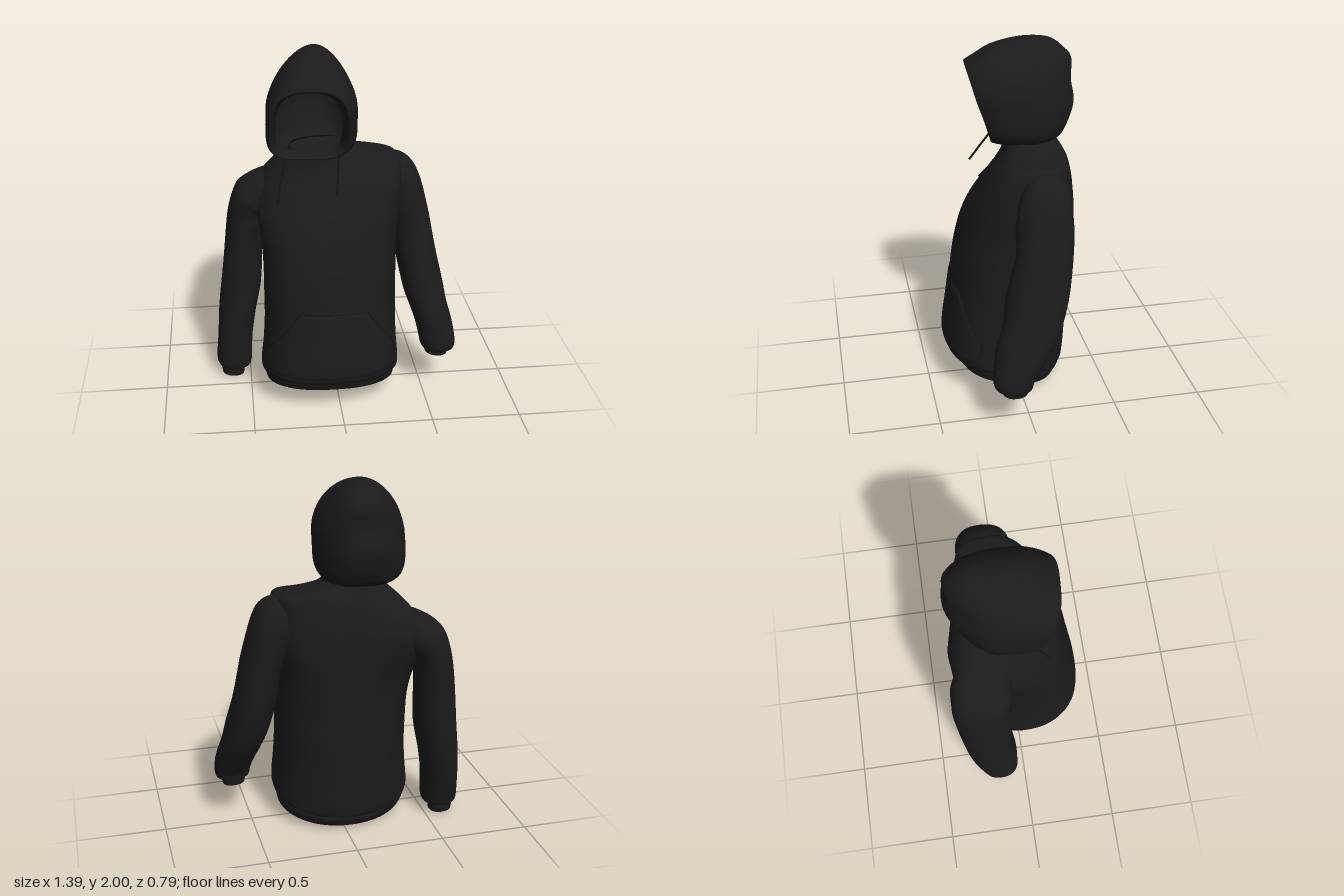
import * as THREE from 'three';

const TAU = Math.PI * 2;
const spow = (v, p) => Math.sign(v) * Math.abs(v) ** p;

// Smoothly interpolated row of a table, t in 0..1
function sampleRow(rows, t) {
  const f = Math.min(Math.max(t, 0), 1) * (rows.length - 1);
  const i = Math.min(Math.floor(f), rows.length - 2), u = f - i;
  const at = k => rows[Math.min(Math.max(k, 0), rows.length - 1)];
  return rows[i].map((b, k) => {
    const a = at(i - 1)[k], c = at(i + 1)[k], d = at(i + 2)[k];
    return b + 0.5 * u * (c - a + u * (2 * a - 5 * b + 4 * c - d + u * (3 * (b - c) + d - a)));
  });
}

// Closed-loop skin over point(t, angle)
function loft(point, nRow, nCol) {
  const pos = [], idx = [];
  for (let r = 0; r <= nRow; r++) {
    for (let c = 0; c < nCol; c++) pos.push(...point(r / nRow, c / nCol * TAU));
  }
  for (let r = 0; r < nRow; r++) {
    for (let c = 0; c < nCol; c++) {
      const a = r * nCol + c, b = r * nCol + (c + 1) % nCol;
      idx.push(a, a + nCol, b, b, a + nCol, b + nCol);
    }
  }
  const g = new THREE.BufferGeometry();
  g.setAttribute('position', new THREE.Float32BufferAttribute(pos, 3));
  g.setIndex(idx);
  g.computeVertexNormals();
  return g;
}

// Body rings: y, slope along z, slope along x, x min, x max, z back, z front, yaw
const BODY = [
  [0.155, 0.15, 0, -0.415, 0.33, -0.27, 0.345, 0],
  [0.165, 0.15, 0, -0.435, 0.355, -0.292, 0.38, 0],
  [0.215, 0.12, 0, -0.435, 0.357, -0.302, 0.395, 0],
  [0.32, 0.07, 0, -0.422, 0.348, -0.31, 0.388, 0],
  [0.45, 0.03, 0, -0.412, 0.342, -0.32, 0.37, 0],
  [0.6, 0, 0, -0.41, 0.34, -0.33, 0.35, 0],
  [0.8, 0, 0, -0.41, 0.34, -0.335, 0.325, 0.03],
  [0.95, 0, 0.02, -0.42, 0.34, -0.338, 0.29, 0.06],
  [1.05, 0, 0.06, -0.43, 0.35, -0.342, 0.255, 0.1],
  [1.13, 0, 0.11, -0.44, 0.36, -0.342, 0.215, 0.13],
  [1.21, 0, 0.17, -0.44, 0.37, -0.337, 0.165, 0.15],
  [1.28, 0, 0.2, -0.43, 0.365, -0.325, 0.115, 0.15],
  [1.33, 0, 0.18, -0.4, 0.345, -0.312, 0.07, 0.13],
  [1.375, 0, 0.12, -0.34, 0.26, -0.295, 0.04, 0.08],
  [1.42, 0, 0.05, -0.265, 0.145, -0.27, 0.03, 0.02],
  [1.455, 0, 0, -0.24, 0.1, -0.25, 0.02, 0],
];
const HEM = [
  [0.09, 0.186, 0, -0.41, 0.335, -0.25, 0.325, 0],
  [0.135, 0.17, 0, -0.42, 0.34, -0.275, 0.34, 0],
  [0.175, 0.155, 0, -0.415, 0.33, -0.27, 0.34, 0],
];
const FRONT_ROUND = 2.45;

// The shoulder blades are squarer than the chest and hips
const backRound = t => 2.1 + 2 * THREE.MathUtils.smoothstep(t, 0.35, 0.62)
  * (1 - THREE.MathUtils.smoothstep(t, 0.84, 1));

const bodyPoint = rows => (t, a) => {
  const [y, sz, sx, x0, x1, z0, z1, yaw] = sampleRow(rows, t);
  const round = Math.sin(a) < 0 ? (rows === HEM ? 2.1 : backRound(t)) : FRONT_ROUND;
  const dx = (x1 - x0) / 2 * spow(Math.cos(a), 2 / round);
  const dz = (z1 - z0) / 2 * spow(Math.sin(a), 2 / round);
  // soft drapes on the back
  const back = Math.max(0, -Math.sin(a)) * Math.sin(Math.PI * t);
  const fold = back * 0.009 * Math.sin(dx * 24 + y * 7);
  return [(x0 + x1) / 2 + dx, y + sz * (dz - 1.2 * dz * dz) + sx * dx, (z0 + z1) / 2 + dz + yaw * dx + fold];
};

// Point on the chest side of the body at a given x and y
function onFront(x, y, lift) {
  const point = bodyPoint(BODY);
  let lo = 0, hi = 1, p, t, a;
  for (let k = 0; k < 24; k++) {
    t = (lo + hi) / 2;
    const row = sampleRow(BODY, t);
    const n = Math.min(0.985, Math.max(-0.985, (2 * x - row[3] - row[4]) / (row[4] - row[3])));
    a = Math.acos(spow(n, FRONT_ROUND / 2));
    p = point(t, a);
    if (p[1] < y) lo = t; else hi = t;
  }
  return new THREE.Vector3(p[0] + lift * Math.cos(a) * 0.6, p[1], p[2] + lift);
}

// Sleeve rings: x and y of the -x edge, x and y of the +x edge, centre z, radius z
const LEFT_SLEEVE = [
  [0.519, 0.28, 0.651, 0.28, 0.1, 0.072], [0.495, 0.268, 0.682, 0.255, 0.102, 0.1],
  [0.485, 0.31, 0.692, 0.3, 0.102, 0.114], [0.464, 0.4, 0.677, 0.4, 0.065, 0.138],
  [0.432, 0.5, 0.655, 0.5, 0.022, 0.16], [0.398, 0.6, 0.633, 0.6, -0.015, 0.166],
  [0.366, 0.75, 0.602, 0.75, -0.052, 0.168], [0.342, 0.93, 0.565, 0.95, -0.085, 0.158],
  [0.33, 1.0, 0.525, 1.12, -0.098, 0.155], [0.315, 1.03, 0.492, 1.25, -0.1, 0.152],
  [0.3, 1.06, 0.445, 1.34, -0.105, 0.146], [0.28, 1.08, 0.37, 1.388, -0.115, 0.136],
  [0.25, 1.1, 0.28, 1.375, -0.125, 0.115],
];
const RIGHT_SLEEVE = [
  [-0.671, 0.09, -0.539, 0.09, -0.15, 0.072], [-0.688, 0.075, -0.508, 0.065, -0.15, 0.1],
  [-0.697, 0.12, -0.49, 0.1, -0.15, 0.113], [-0.688, 0.25, -0.484, 0.25, -0.17, 0.128],
  [-0.675, 0.4, -0.457, 0.4, -0.19, 0.14], [-0.652, 0.6, -0.42, 0.6, -0.21, 0.146],
  [-0.622, 0.85, -0.409, 0.85, -0.225, 0.152], [-0.595, 1.04, -0.4, 0.97, -0.226, 0.162],
  [-0.56, 1.16, -0.39, 1.0, -0.222, 0.165], [-0.515, 1.215, -0.375, 1.02, -0.218, 0.168],
  [-0.43, 1.265, -0.35, 1.04, -0.21, 0.168], [-0.35, 1.295, -0.31, 1.07, -0.195, 0.15],
  [-0.27, 1.31, -0.26, 1.1, -0.18, 0.11],
];
const sleevePoint = (rows, fold) => (t, a) => {
  const [x0, y0, x1, y1, cz, rz] = sampleRow(rows, t);
  const f = 1 + fold * Math.sin(Math.PI * t) * Math.sin(t * 30 + 3 * a) * (0.5 + 0.5 * Math.sin(a));
  const c = f * spow(Math.cos(a), 0.87) / 2, s = f * spow(Math.sin(a), 0.87);
  return [(x0 + x1) / 2 + (x1 - x0) * c, (y0 + y1) / 2 + (y1 - y0) * c, cz + rz * s];
};

// Hood rings front to back: z, shear, centre x, radius x, y bottom, y top, squareness power
const HOOD = [
  [0.09, 0.3, -0.15, 0.175, 1.47, 1.82, 0.7], [0.145, 0.32, -0.15, 0.195, 1.45, 1.84, 0.7],
  [0.16, 0.32, -0.15, 0.214, 1.435, 1.855, 0.7], [0.1, 0.31, -0.138, 0.238, 1.425, 1.895, 0.78],
  [0.02, 0.26, -0.127, 0.247, 1.42, 1.95, 0.9], [-0.08, 0.18, -0.122, 0.245, 1.42, 1.985, 1],
  [-0.17, 0.1, -0.11, 0.218, 1.43, 1.997, 1], [-0.25, 0.04, -0.095, 0.172, 1.45, 1.985, 1],
  [-0.305, 0, -0.085, 0.125, 1.49, 1.93, 1], [-0.34, 0, -0.08, 0.072, 1.56, 1.87, 1],
  [-0.355, 0, -0.08, 0, 1.71, 1.71, 1],
];
const hoodPoint = (t, a) => {
  const [z, shear, cx, rx, y0, y1, p] = sampleRow(HOOD, t);
  const s = Math.sin(a), q = s < 0 ? Math.min(p, 0.55) : p;
  const dy = (y1 - y0) / 2 * spow(s, q);
  const dx = rx * spow(Math.cos(a), q) * (1 - 0.11 * s);
  const crease = 0.009 * Math.sin(dy * 26) * t;
  return [cx + dx, (y0 + y1) / 2 + dy, z + shear * dy + 0.08 * dx * (1 - t) + crease];
};

// Pouch side edge: x at a given height on either side
const pouchEdge = (y, side) => {
  const k = Math.min(1, Math.max(0, (y - 0.37) / 0.245));
  return side < 0 ? -0.39 + 0.165 * k : 0.31 - 0.165 * k;
};

export function createModel() {
  const model = new THREE.Group();
  const fabric = new THREE.MeshStandardMaterial({ color: 0x1b1b1b, side: THREE.DoubleSide });
  fabric.name = 'black fabric';
  const trim = new THREE.MeshStandardMaterial({ color: 0x161616, side: THREE.DoubleSide });
  trim.name = 'dark trim';
  const add = (name, geometry, material = fabric) => {
    const mesh = new THREE.Mesh(geometry, material);
    mesh.name = name;
    model.add(mesh);
  };
  const cord = (name, points, radius) => add(name,
    new THREE.TubeGeometry(new THREE.CatmullRomCurve3(points), 48, radius, 6), trim);

  add('body', loft(bodyPoint(BODY), 90, 96));
  add('hemBand', loft(bodyPoint(HEM), 10, 96));
  add('hood', loft(hoodPoint, 60, 72));

  // Sleeves with ribbed cuffs
  for (const [side, rows, x, y, z] of [['left', LEFT_SLEEVE, 0.585, 0.21, 0.095],
    ['right', RIGHT_SLEEVE, -0.605, 0, -0.15]]) {
    add(side + 'Sleeve', loft(sleevePoint(rows, 0.035), 80, 48));
    const cuff = [[0.005, 0.064], [0.045, 0.069], [0.09, 0.066]].map(([h, r]) =>
      [x - r, y + h + 0.005, x + r, y + h - 0.005, z, r * 1.08]);
    add(side + 'Cuff', loft(sleevePoint(cuff, 0), 8, 40));
  }

  // Front pouch pocket laid over the body, edges tucked down
  const pouch = new THREE.PlaneGeometry(1, 1, 36, 24), pos = pouch.attributes.position;
  for (let i = 0; i < pos.count; i++) {
    const u = pos.getX(i) + 0.5, v = pos.getY(i) + 0.5;
    const y = 0.225 + 0.39 * v;
    const x = THREE.MathUtils.lerp(pouchEdge(y, -1), pouchEdge(y, 1), u);
    const edge = u < 0.01 || u > 0.99 || v < 0.01 || v > 0.99;
    const p = onFront(x, y, edge ? -0.002 : 0.006);
    pos.setXYZ(i, p.x, p.y, p.z);
  }
  pouch.computeVertexNormals();
  add('pouchPocket', pouch);

  // Pouch stitching
  const stitch = [];
  for (let y = 0.24; y <= 0.61; y += 0.03) stitch.push(onFront(pouchEdge(y, -1), y, 0.001));
  for (let k = 0; k <= 8; k++) stitch.push(onFront(-0.225 + 0.37 * k / 8, 0.615, 0.001));
  for (let y = 0.6; y >= 0.23; y -= 0.03) stitch.push(onFront(pouchEdge(y, 1), y, 0.001));
  cord('pouchStitching', stitch, 0.003);

  // Drawstrings hanging from the hood
  for (const [name, x0, x1, y1] of [['rightDrawstring', -0.28, -0.33, 1.22], ['leftDrawstring', 0.015, -0.01, 1.25]]) {
    cord(name, [new THREE.Vector3(x0, 1.45, 0.03), new THREE.Vector3(x0 - 0.005, 1.39, 0.07),
      new THREE.Vector3((x0 + x1) / 2, 1.32, 0.115), new THREE.Vector3(x1, y1, 0.18)], 0.006);
  }
  return model;
}
